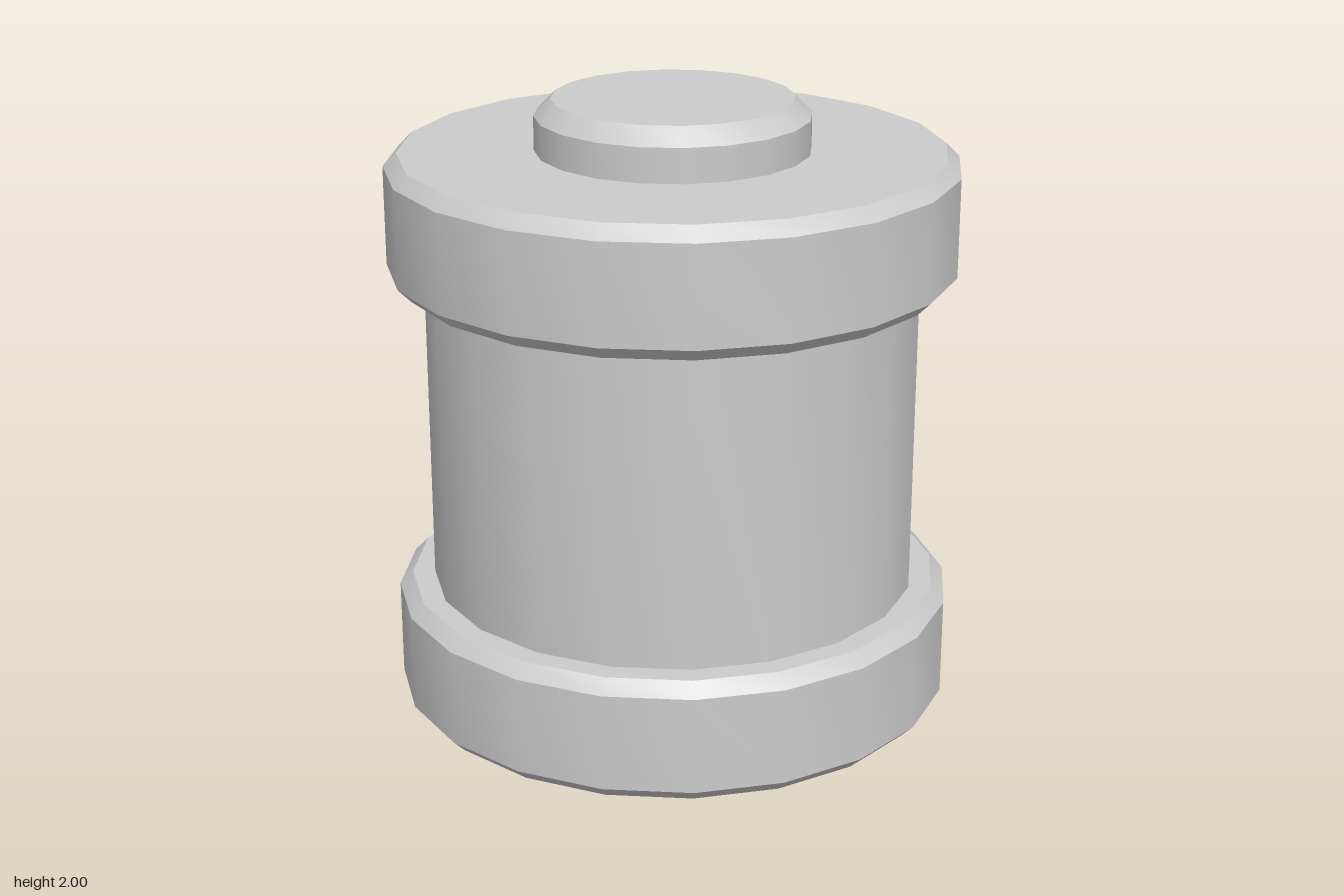
import * as THREE from 'three';
import { toCreasedNormals } from 'three/addons/utils/BufferGeometryUtils.js';

const SIDES = 20;
const material = new THREE.MeshStandardMaterial({ color: 0xcccccc });

// Solid disc or rod between two heights, with optional bevelled rims
function turned(name, radius, bottom, top, bevel = 0, bevelHeight = bevel) {
  const profile = bevel
    ? [[0, bottom], [radius - bevel, bottom], [radius, bottom + bevelHeight],
       [radius, top - bevelHeight], [radius - bevel, top], [0, top]]
    : [[0, bottom], [radius, bottom], [radius, top], [0, top]];
  const points = profile.map(([r, y]) => new THREE.Vector2(r, y));
  const lathe = new THREE.LatheGeometry(points, SIDES);
  const mesh = new THREE.Mesh(toCreasedNormals(lathe, Math.PI / 6), material);
  mesh.name = name;
  return mesh;
}

export function createModel() {
  const group = new THREE.Group();
  group.name = 'roller';
  group.add(
    // Axle pin running through the whole roller
    turned('axlePin', 0.405, 0, 2, 0.05),
    // Central drum
    turned('drum', 0.735, 0.5, 1.5),
    // Wide bevelled collars at both ends
    turned('lowerCollar', 0.843, 0.152, 0.526, 0.04),
    turned('upperCollar', 0.843, 1.474, 1.848, 0.04),
  );
  return group;
}
